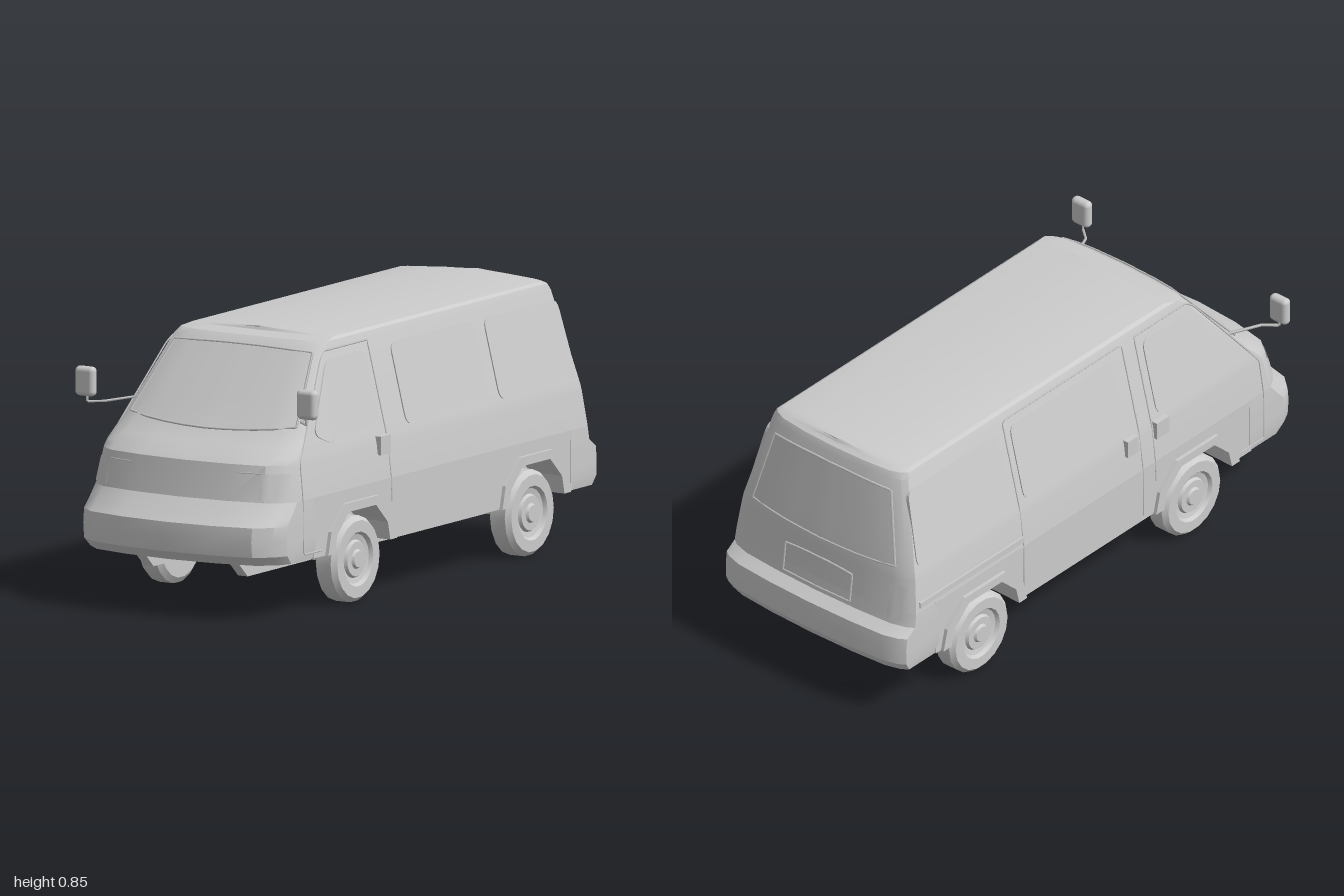
import * as THREE from 'three';
import { toCreasedNormals } from 'three/addons/utils/BufferGeometryUtils.js';
import { RoundedBoxGeometry } from 'three/addons/geometries/RoundedBoxGeometry.js';

const grey = new THREE.MeshStandardMaterial({ color: 0xcccccc });
const thin = new THREE.MeshStandardMaterial({ color: 0xcccccc, side: THREE.DoubleSide });

// Body levels: height, half width, front z, front corner rounding, rear z
const rows = [
  [0.18, 0.375, 0.965, 1, -0.98], [0.21, 0.38, 0.995, 1, -0.998], [0.26, 0.38, 1, 1, -1],
  [0.305, 0.38, 0.995, 1, -0.995], [0.33, 0.38, 0.965, 0.95, -0.957], [0.375, 0.378, 0.915, 0.85, -0.95],
  [0.49, 0.364, 0.89, 0.85, -0.937], [0.51, 0.36, 0.865, 0.75, -0.935], [0.54, 0.3525, 0.815, 0.6, -0.93],
  [0.58, 0.3425, 0.75, 0.45, -0.923], [0.815, 0.284, 0.535, 0.3, -0.88], [0.835, 0.277, 0.505, 0.3, -0.87],
  [0.843, 0.265, 0.44, 0.2, -0.855], [0.851, 0.14, 0.435, 0.2, -0.85], [0.855, 0, 0.435, 0.2, -0.85],
];
const knots = [[0, 0], [0.45, 0.012], [0.8, 0.04], [0.94, 0.085], [1, 0.13]];

function lookup(table, v) {
  let i = 1;
  while (i < table.length - 1 && v > table[i][0]) i++;
  const a = table[i - 1], b = table[i], t = THREE.MathUtils.clamp((v - a[0]) / (b[0] - a[0]), 0, 1);
  return a.map((n, k) => n + (b[k] - n) * t);
}
const width = y => lookup(rows, y)[1];
const corner = t => lookup(knots, Math.min(1, Math.abs(t)))[1];
const frontZ = (x, y) => { const r = lookup(rows, y); return r[2] - r[3] * corner(x / r[1]); };
const backZ = (x, y) => { const r = lookup(rows, y); return r[4] + 0.35 * corner(x / r[1]); };

function geometryFrom(positions, index) {
  const g = new THREE.BufferGeometry();
  g.setAttribute('position', new THREE.Float32BufferAttribute(positions, 3));
  g.setIndex(index);
  return toCreasedNormals(g, 0.45);
}

// Stack of closed rings with flat caps; either end may be cut at a fixed z
function loft(levels, cutFront, cutBack) {
  const ts = [...knots.slice(1).map(k => -k[0]).reverse(), ...knots.map(k => k[0])];
  const n = ts.length, m = 2 * n, pos = [], idx = [];
  for (const [y, w, zf, k, zb] of levels) {
    ts.forEach(t => pos.push(t * w, y, cutFront ?? zf - k * corner(t)));
    [...ts].reverse().forEach(t => pos.push(t * w, y, cutBack ?? zb + 0.35 * corner(t)));
  }
  const quad = (a, b, c, d) => idx.push(a, b, c, a, c, d);
  for (let i = 0; i < levels.length - 1; i++)
    for (let j = 0; j < m; j++) {
      const k = (j + 1) % m;
      quad(i * m + j, i * m + k, i * m + m + k, i * m + m + j);
    }
  for (let j = 0; j < n - 1; j++) quad(j, m - 1 - j, m - 2 - j, j + 1);
  return geometryFrom(pos, idx);
}

// Grid surface from a rule (u, v in 0..1)
function patch(fn, nu = 14, nv = 6) {
  const pos = [], idx = [];
  for (let j = 0; j <= nv; j++) for (let i = 0; i <= nu; i++) pos.push(...fn(i / nu, j / nv));
  for (let j = 0; j < nv; j++)
    for (let i = 0; i < nu; i++) {
      const a = j * (nu + 1) + i, b = a + nu + 1;
      idx.push(a, a + 1, b + 1, a, b + 1, b);
    }
  return geometryFrom(pos, idx);
}

// Outline with rounded corners
function roundedShape(pts, r) {
  const s = new THREE.Shape(), v = pts.map(p => new THREE.Vector2(...p));
  v.forEach((p, i) => {
    const toward = q => p.clone().add(q.clone().sub(p).setLength(r));
    const a = toward(v[(i + v.length - 1) % v.length]), b = toward(v[(i + 1) % v.length]);
    if (i) s.lineTo(a.x, a.y); else s.moveTo(a.x, a.y);
    s.quadraticCurveTo(p.x, p.y, b.x, b.y);
  });
  s.closePath();
  return s;
}

// Plate drawn in (z, y), standing out from the body side by "out"
function sidePlate(shape, side, out, depth, follow = width) {
  const g = new THREE.ExtrudeGeometry(shape, { depth, bevelEnabled: false, curveSegments: 4 });
  g.rotateY(-Math.PI / 2);
  const p = g.attributes.position;
  for (let i = 0; i < p.count; i++) {
    const w = follow(p.getY(i)) + out, x = p.getX(i);
    p.setX(i, side > 0 ? w + x : -w + x + depth);
  }
  g.computeVertexNormals();
  return g;
}

function strip(points, r = 0.003) {
  const path = new THREE.CurvePath();
  for (let i = 1; i < points.length; i++)
    path.add(new THREE.LineCurve3(new THREE.Vector3(...points[i - 1]), new THREE.Vector3(...points[i])));
  return new THREE.TubeGeometry(path, points.length * 10, r, 4);
}

export function createModel() {
  const van = new THREE.Group();
  const add = (name, geo, mat = grey) => {
    const m = new THREE.Mesh(geo, mat);
    m.name = name;
    van.add(m);
    return m;
  };
  const box = (name, w, h, d, x, y, z) => add(name, new THREE.BoxGeometry(w, h, d)).position.set(x, y, z);

  // Shell: upper body, nose and tail below it, and the floor between
  const split = 0.375, cut = rows.findIndex(r => r[0] === split);
  add('upperBody', loft(rows.slice(cut)));
  add('noseAndFrontBumper', loft(rows.slice(0, cut + 1), undefined, 0.7));
  add('tailAndRearBumper', loft(rows.slice(0, cut + 1), -0.8, undefined));
  box('floor', 0.54, 0.19, 1.52, 0, 0.275, -0.05);

  // Sills with wheel openings, and flared arches
  const arch = (z, s) => [[-0.165, 0.18], [-0.15, 0.24], [-0.08, 0.305], [0.08, 0.305], [0.15, 0.24], [0.165, 0.18]]
    .map(([a, y]) => [z + a * s, 0.18 + (y - 0.18) * s]);
  const axles = [0.44, -0.585];
  const sill = new THREE.Shape([[-0.81, 0.18], ...arch(axles[1], 1), ...arch(axles[0], 1), [0.71, 0.18], [0.71, split], [-0.81, split]]
    .map(p => new THREE.Vector2(...p)));
  for (const s of [1, -1]) {
    add('sill', sidePlate(sill, s, 0, 0.11, () => 0.379));
    for (const z of axles) {
      const lip = new THREE.Shape([...arch(z, 1.22), ...arch(z, 0.99).reverse()].map(p => new THREE.Vector2(...p)));
      add('archFlare', sidePlate(lip, s, 0, 0.04, () => 0.391));
    }

    // Side windows
    const windows = {
      frontDoorWindow: [[0.28, 0.525], [0.56, 0.525], [0.66, 0.565], [0.505, 0.785], [0.28, 0.785]],
      middleWindow: [[-0.36, 0.525], [0.13, 0.525], [0.13, 0.785], [-0.36, 0.785]],
      rearWindow: [[-0.875, 0.525], [-0.42, 0.525], [-0.42, 0.785], [-0.85, 0.785]],
    };
    for (const [name, pts] of Object.entries(windows))
      add(name, sidePlate(roundedShape(pts, 0.035), s, 0.004, 0.015));

    // Door seams and handles
    const seam = pts => strip(pts.map(([z, y]) => [s * (y < 0.375 ? 0.38 : width(y)), y, z]));
    add('frontDoorSeam', seam([[0.25, 0.3], [0.25, 0.375], [0.25, 0.51], [0.25, 0.81], [0.5, 0.81], [0.53, 0.79],
      [0.72, 0.55], [0.765, 0.49], [0.77, 0.375], [0.77, 0.2], [0.66, 0.2]]));
    box('doorHandle', 0.025, 0.06, 0.06, s * 0.367, 0.485, 0.285);
    if (s < 0) {
      add('slidingDoorSeam', seam([[0.19, 0.2], [0.19, 0.375], [0.19, 0.51], [0.19, 0.81], [-0.385, 0.81],
        [-0.385, 0.51], [-0.385, 0.375], [-0.385, 0.2]]));
      box('slidingDoorHandle', 0.025, 0.06, 0.05, -0.367, 0.485, 0.14);
      box('slidingDoorRail', 0.015, 0.02, 0.5, -0.373, 0.4, -0.635);
    }

    // Mirrors
    const mirror = add('mirror', new RoundedBoxGeometry(0.073, 0.096, 0.035, 2, 0.016));
    mirror.position.set(s * 0.417, 0.692, 0.805);
    add('mirrorArm', strip([[s * 0.413, 0.66, 0.805], [s * 0.413, 0.627, 0.805], [s * 0.37, 0.627, 0.77], [s * 0.325, 0.63, 0.66]], 0.005));

    // Lamps wrapped around the corners
    const lamp = (z, out, x0, x1, y0, y1) => patch((u, v) => {
      const x = s * (x0 + (x1 - x0) * u), y = y0 + (y1 - y0) * v;
      return [x, y, z(x, y) + out];
    }, 6, 3);
    add('headlight', lamp(frontZ, 0.006, 0.285, 0.358, 0.385, 0.465), thin);
    add('tailLamp', lamp(backZ, -0.005, 0.29, 0.36, 0.35, 0.47), thin);
    add('grilleSlot', strip([0.2, 0.24, 0.285].map(x => [s * x, 0.465, frontZ(x, 0.465)]), 0.002));

    // Chassis rail with slanted ends
    const rail = new THREE.Shape([[-0.82, 0.12], [0.81, 0.12], [0.86, 0.165], [0.86, 0.185], [-0.88, 0.185]]
      .map(p => new THREE.Vector2(...p)));
    add('chassisRail', sidePlate(rail, s, 0, 0.036, () => 0.195));
  }

  // Windscreen and rear window with their rims
  const pane = (z, out, top, bottom, yTop, yBottom, sag) => (u, v) => {
    const a = u * 2 - 1, x = a * (bottom + (top - bottom) * v);
    const y = (yBottom + sag * a * a) * (1 - v) + (yTop - 0.008 * a * a) * v;
    return [x, y, z(x, y) + out];
  };
  const edge = fn => {
    const pts = [];
    for (const [a, b, c, d] of [[0, 0, 1, 0], [1, 0, 1, 1], [1, 1, 0, 1], [0, 1, 0, 0]])
      for (let i = 0; i < 8; i++) pts.push(fn(a + (c - a) * i / 8, b + (d - b) * i / 8));
    return strip([...pts, pts[0]], 0.004);
  };
  const screen = pane(frontZ, 0.005, 0.258, 0.312, 0.813, 0.575, 0.02);
  const rearPane = pane(backZ, -0.004, 0.245, 0.3, 0.785, 0.52, 0.012);
  add('windscreen', patch(screen), thin);
  add('windscreenRim', edge(screen));
  add('rearWindow', patch(rearPane), thin);
  add('rearWindowRim', edge(rearPane));
  add('plateRecessRim', edge(pane(backZ, -0.002, 0.14, 0.14, 0.45, 0.345, 0)));

  // Axle beams and wheels
  const tyre = [[0, -0.042], [0.12, -0.042], [0.139, -0.028], [0.139, 0.026], [0.125, 0.042], [0.088, 0.042], [0.08, 0.03],
    [0.062, 0.026], [0.056, 0.036], [0.032, 0.036], [0.026, 0.044], [0, 0.044]].map(p => new THREE.Vector2(...p));
  const wheelGeo = toCreasedNormals(new THREE.LatheGeometry(tyre, 18), 0.45);
  for (const z of axles) {
    box('axleBeam', 0.6, 0.045, 0.045, 0, 0.148, z);
    for (const s of [1, -1]) {
      const wheel = add('wheel', wheelGeo);
      wheel.rotation.z = -s * Math.PI / 2;
      wheel.position.set(s * 0.333, 0.139, z);
    }
  }
  return van;
}
